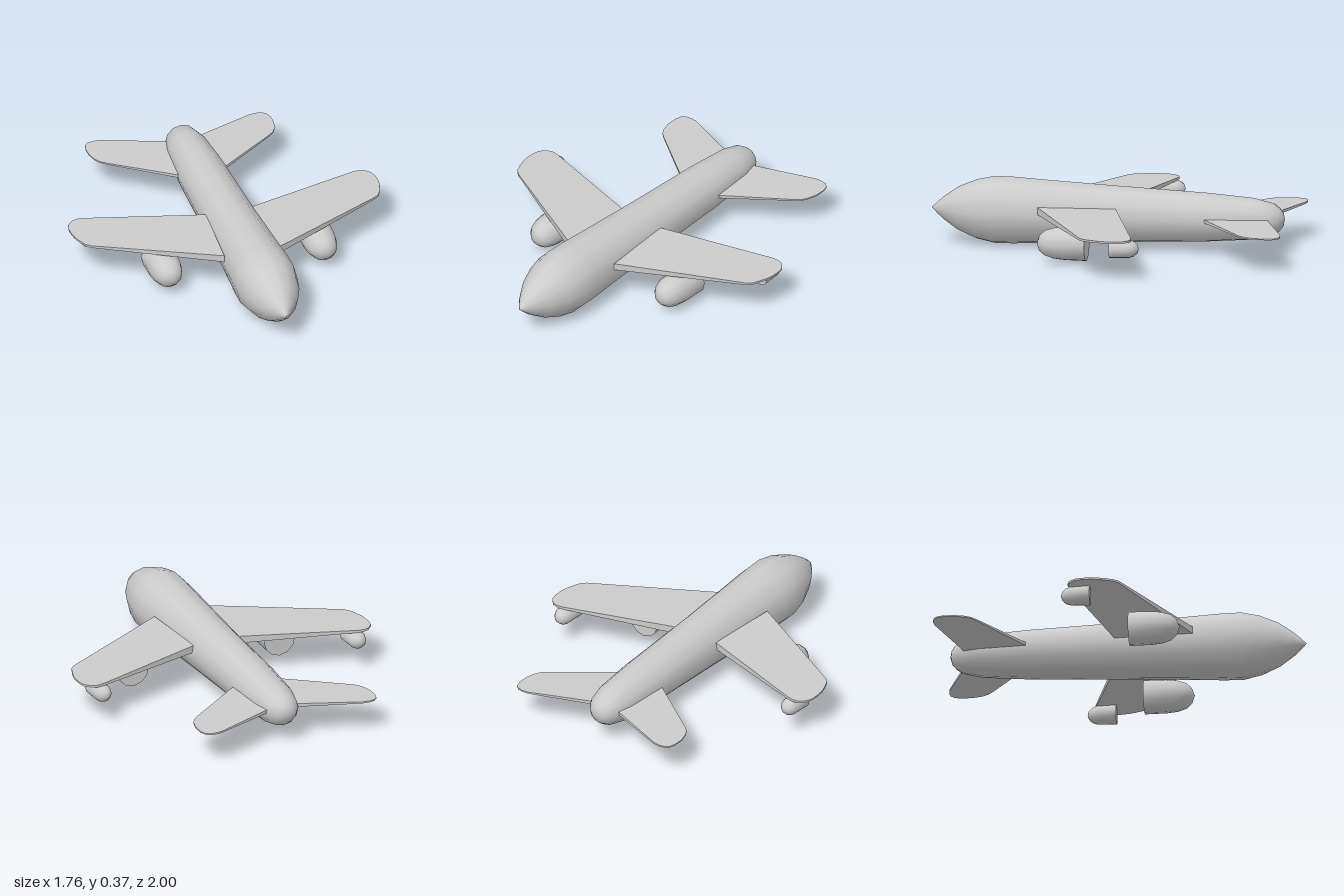
import * as THREE from 'three';
import { toCreasedNormals } from 'three/addons/utils/BufferGeometryUtils.js';

const material = new THREE.MeshStandardMaterial({ color: 0xcccccc });
const { lerp, mapLinear, clamp } = THREE.MathUtils;

function addMesh(parent, name, geometry, crease) {
  geometry.computeVertexNormals();
  const mesh = new THREE.Mesh(toCreasedNormals(geometry, crease), material);
  mesh.name = name;
  parent.add(mesh);
  return mesh;
}

// Round body along z; profile is [z, radius] from back to front.
function turned(profile, sides = 12) {
  const points = profile.map(([z, r]) => new THREE.Vector2(r, z));
  return new THREE.LatheGeometry(points, sides).rotateX(Math.PI / 2);
}

// Flat surface from an [x, z] outline; root and tip give [bottom, top] heights.
function aerofoil(outline, side, root, tip) {
  const shape = new THREE.Shape(outline.map(([x, z]) => new THREE.Vector2(side * x, z)));
  const geometry = new THREE.ExtrudeGeometry(shape, { depth: 1, bevelEnabled: false });
  geometry.rotateX(Math.PI / 2);
  const p = geometry.attributes.position;
  const xs = outline.map(([x]) => x);
  const inner = Math.min(...xs), outer = Math.max(...xs);
  for (let i = 0; i < p.count; i++) {
    const t = mapLinear(Math.abs(p.getX(i)), inner, outer, 0, 1);
    const k = p.getY(i) < -0.5 ? 0 : 1;
    p.setY(i, lerp(root[k], tip[k], t));
  }
  return geometry;
}

const FUSELAGE = [
  [-0.95, 0], [-0.94, 0.04], [-0.92, 0.065], [-0.887, 0.09], [-0.78, 0.116], [-0.53, 0.135],
  [-0.3, 0.145], [0, 0.158], [0.35, 0.175], [0.55, 0.186], [0.65, 0.187], [0.75, 0.165],
  [0.85, 0.122], [0.93, 0.066], [0.97, 0.03], [1, 0],
];
const ENGINE = [
  [0.07, 0], [0.07, 0.093], [0.19, 0.092], [0.25, 0.086], [0.3, 0.07], [0.33, 0.043], [0.346, 0],
];
const POD = [
  [-0.272, 0], [-0.265, 0.024], [-0.245, 0.042], [-0.22, 0.05], [-0.113, 0.054], [-0.113, 0],
];
const WING = [
  [0.13, -0.037], [0.16, 0.39], [0.815, 0.05], [0.84, 0.025], [0.857, -0.015], [0.872, -0.06],
  [0.878, -0.1], [0.878, -0.15], [0.868, -0.19], [0.838, -0.223], [0.805, -0.232], [0.77, -0.228],
];
const TAIL = [
  [0.07, -0.86], [0.11, -0.51], [0.466, -0.765], [0.495, -0.79], [0.515, -0.825], [0.53, -0.88],
  [0.53, -0.94], [0.52, -0.975], [0.497, -0.995], [0.465, -1], [0.425, -0.995],
];

export function createModel() {
  const model = new THREE.Group();
  model.name = 'aeroplane';

  // Fuselage, slightly narrower than tall ahead of the tail
  const body = turned(FUSELAGE);
  const p = body.attributes.position;
  for (let i = 0; i < p.count; i++) {
    const narrowing = clamp(mapLinear(p.getZ(i), -0.6, -0.1, 1, 0.93), 0.93, 1);
    p.setX(i, p.getX(i) * narrowing);
  }
  addMesh(model, 'fuselage', body, 1).position.y = 0.19;

  for (const [label, side] of [['left', 1], ['right', -1]]) {
    // Swept wing and tailplane
    addMesh(model, label + 'Wing', aerofoil(WING, side, [0.203, 0.245], [0.218, 0.228]), 0.8);
    addMesh(model, label + 'Tailplane', aerofoil(TAIL, side, [0.184, 0.204], [0.191, 0.198]), 0.8);

    // Engine hanging below the leading edge
    addMesh(model, label + 'Engine', turned(ENGINE), 0.9).position.set(side * 0.443, 0.113, 0);

    // Small pod below the wing tip
    addMesh(model, label + 'TipPod', turned(POD), 0.9).position.set(side * 0.771, 0.17, 0);
  }
  return model;
}
